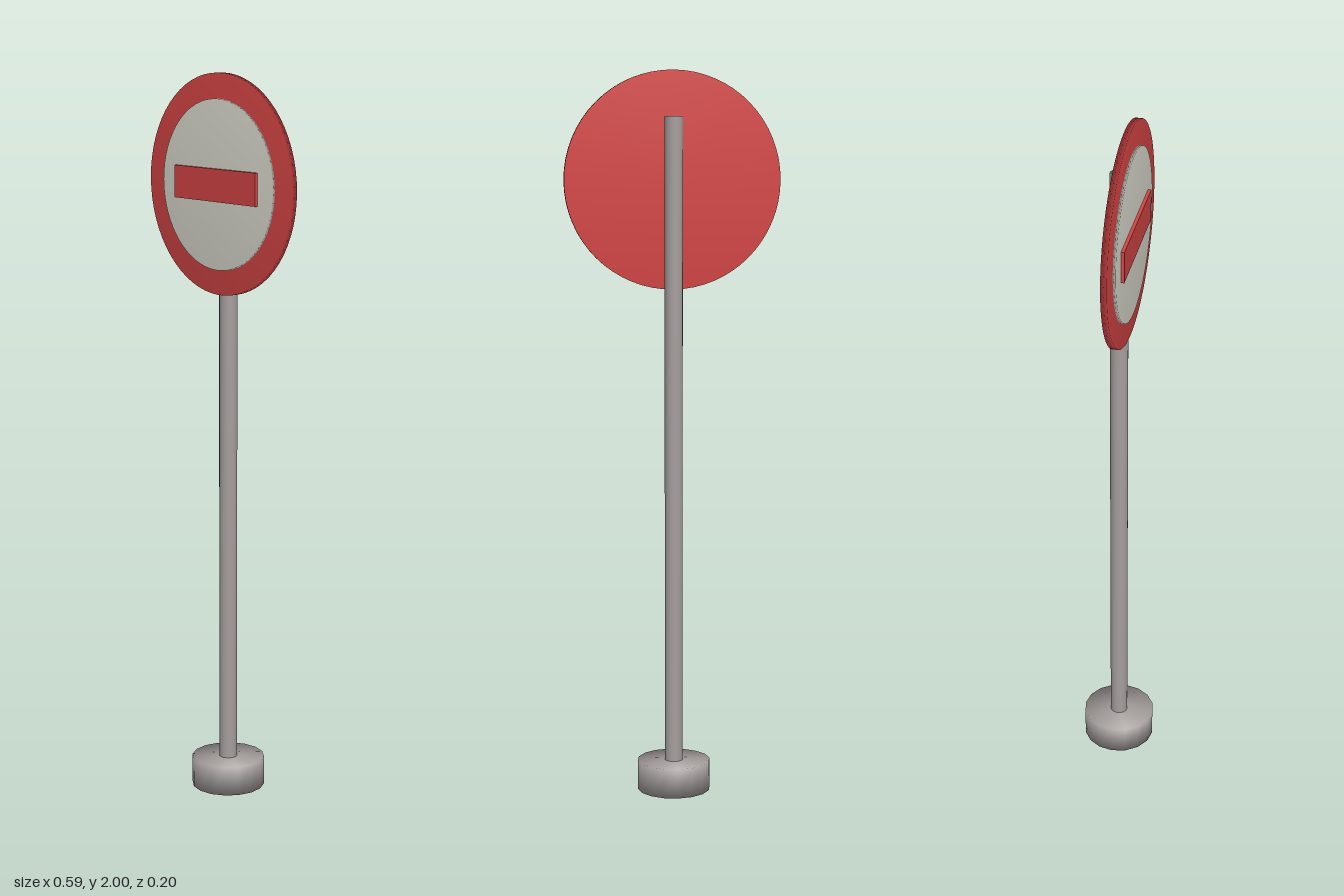
import * as THREE from 'three';
import { mergeVertices } from 'three/addons/utils/BufferGeometryUtils.js';

const red = new THREE.MeshStandardMaterial({ name: 'signalRed', color: 0xd64545 });
const white = new THREE.MeshStandardMaterial({ name: 'offWhite', color: 0xdcdcd0 });
const grey = new THREE.MeshStandardMaterial({ name: 'metalGrey', color: 0xa6a09e });

// Cylinder whose normals are shared between caps and side, giving soft shading
function softCylinder(radius, height, sides) {
  const g = new THREE.CylinderGeometry(radius, radius, height, sides);
  g.deleteAttribute('uv');
  g.deleteAttribute('normal');
  const merged = mergeVertices(g, 1e-5);
  merged.computeVertexNormals();
  return merged;
}

export function createModel() {
  const model = new THREE.Group();
  model.name = 'roadSign';

  const add = (name, geometry, material, y, z = 0) => {
    const mesh = new THREE.Mesh(geometry, material);
    mesh.name = name;
    mesh.position.set(0, y, z);
    model.add(mesh);
    return mesh;
  };

  // Foot and post
  add('base', softCylinder(0.102, 0.083, 16), grey, 0.0415);
  add('pole', softCylinder(0.025, 1.874, 16), grey, 0.938);

  // Round plates facing forward, stacked on the front of the post
  const signY = 1.703;
  const plate = (name, radius, back, front, material) =>
    add(name, softCylinder(radius, front - back, 64).rotateX(Math.PI / 2),
      material, signY, (back + front) / 2);
  plate('signDisc', 0.297, 0.016, 0.033, red);
  plate('innerDisc', 0.229, 0.032, 0.041, white);

  // Raised horizontal bar
  add('bar', new THREE.BoxGeometry(0.34, 0.088, 0.01), red, signY, 0.045);

  return model;
}
